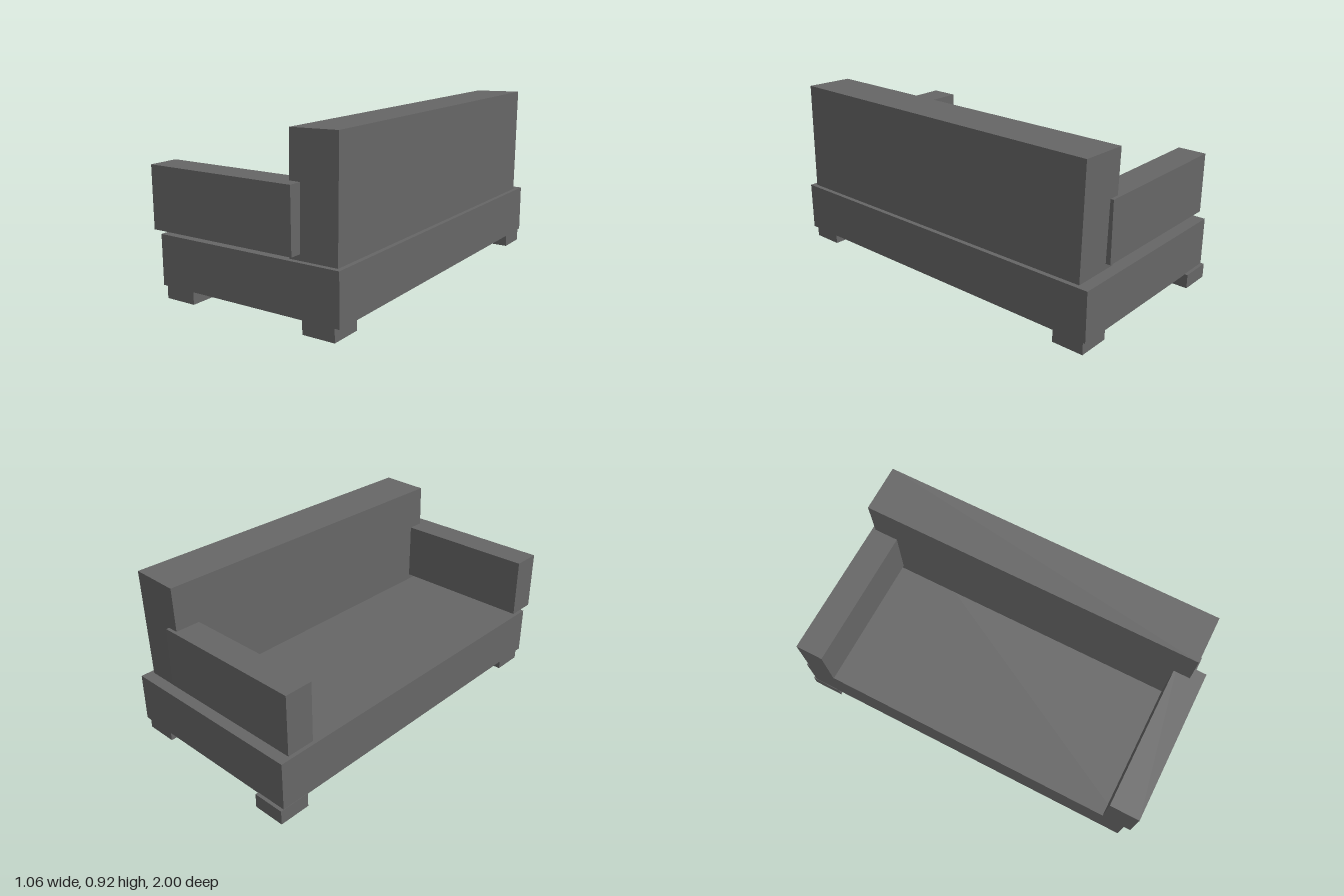
import * as THREE from 'three';

const grey = new THREE.MeshStandardMaterial({ color: 0x666666 });
grey.name = 'grey upholstery';

// Box given by its [min, max] range on each axis
function block(name, [x0, x1], [y0, y1], [z0, z1]) {
  const geometry = new THREE.BoxGeometry(x1 - x0, y1 - y0, z1 - z0);
  geometry.translate((x0 + x1) / 2, (y0 + y1) / 2, (z0 + z1) / 2);
  const mesh = new THREE.Mesh(geometry, grey);
  mesh.name = name;
  return mesh;
}

// Backrest leans slightly along z, and its top slopes up towards the rear
function makeBackrest() {
  const mesh = block('backrest', [0.246, 0.505], [0.33, 0.92], [-0.921, 0.94]);
  const p = mesh.geometry.attributes.position;
  for (let i = 0; i < p.count; i++) {
    if (p.getY(i) < 0.5) continue;
    p.setZ(i, p.getZ(i) - 0.014);
    if (p.getX(i) < 0.4) p.setY(i, 0.913);
  }
  mesh.geometry.computeVertexNormals();
  return mesh;
}

export function createModel() {
  const sofa = new THREE.Group();
  sofa.name = 'sofa';

  sofa.add(block('seatBase', [-0.523, 0.529], [0.072, 0.332], [-0.982, 0.966]));
  sofa.add(makeBackrest());

  // Armrests, carried by the backrest just above the seat
  sofa.add(block('armrestFront', [-0.531, 0.304], [0.362, 0.681], [0.842, 1.0]));
  sofa.add(block('armrestRear', [-0.531, 0.304], [0.362, 0.681], [-0.947, -0.795]));

  // Feet: minimum x and z corner, and underside height
  const size = 0.174;
  const feet = [
    [-0.505, 0.79, 0.005],
    [0.33, 0.796, 0.005],
    [-0.525, -1.0, 0],
    [0.35, -0.966, 0.005],
  ];
  for (const [x, z, y] of feet) {
    sofa.add(block('foot', [x, x + size], [y, 0.076], [z, z + 0.17]));
  }
  return sofa;
}
